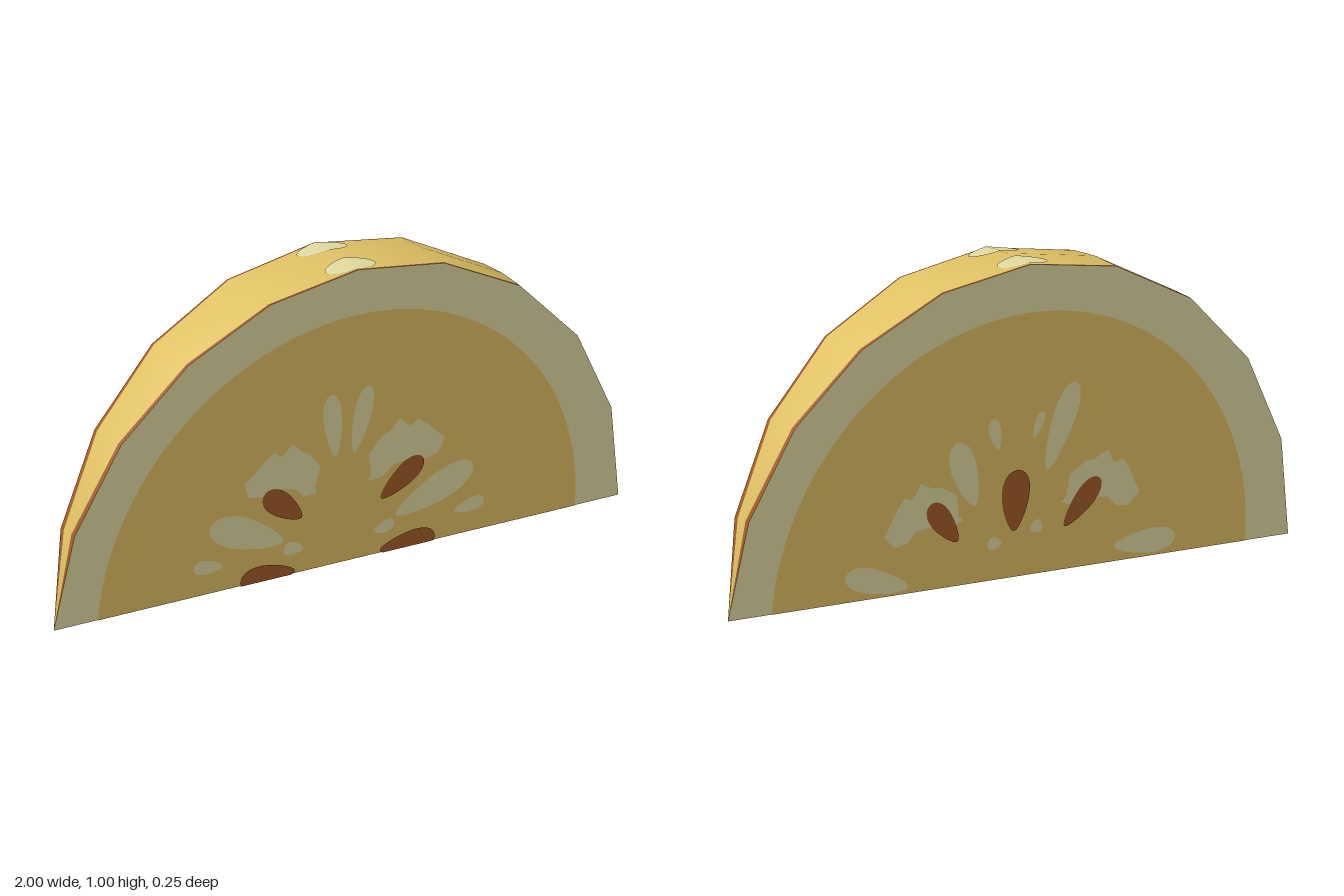
import * as THREE from 'three';

const TILT = 0.1263; // half the wedge angle
const SEGS = 10;     // facets along the rind

const material = (name, color, side = THREE.FrontSide) => {
  const m = new THREE.MeshStandardMaterial({ color, side });
  m.name = name;
  return m;
};

// Flat plate from 2D points, laid a little in front of the cut face
function plate(name, points, mat, z) {
  const clipped = points.map(([x, y]) => new THREE.Vector2(x, Math.max(0, y)));
  const mesh = new THREE.Mesh(new THREE.ShapeGeometry(new THREE.Shape(clipped)), mat);
  mesh.position.z = z;
  mesh.name = name;
  return mesh;
}

// Half disc standing on its straight side
function halfDisc(r, n) {
  return Array.from({ length: n + 1 }, (_, i) => {
    const t = (i / n) * Math.PI;
    return [r * Math.cos(t), r * Math.sin(t)];
  });
}

// Teardrop from its wide outer end to its narrow inner end
function drop([x0, y0, x1, y1, width], taper = 0.35) {
  const cx = (x0 + x1) / 2, cy = (y0 + y1) / 2;
  const ax = (x0 - x1) / 2, ay = (y0 - y1) / 2;
  const len = Math.hypot(ax, ay);
  return Array.from({ length: 24 }, (_, i) => {
    const t = (i / 24) * Math.PI * 2;
    const a = Math.cos(t), s = (Math.sin(t) * (1 + taper * a) * width) / 2 / len;
    return [cx + ax * a - ay * s, cy + ay * a + ax * s];
  });
}

const mirror = ([x0, y0, x1, y1, w]) => [-x0, y0, -x1, y1, w];
const spin = (pts, a) => pts.map(([x, y]) =>
  [x * Math.cos(a) - y * Math.sin(a), x * Math.sin(a) + y * Math.cos(a)]);
const flip = (pts) => pts.map(([x, y]) => [-x, y]);

// Lobed patch of membrane around a seed
const PATCH = [[-0.355, 0.35], [-0.32, 0.38], [-0.29, 0.41], [-0.255, 0.435], [-0.23, 0.415],
  [-0.19, 0.45], [-0.155, 0.415], [-0.125, 0.4], [-0.085, 0.35], [-0.1, 0.285], [-0.09, 0.26],
  [-0.14, 0.262], [-0.175, 0.295], [-0.21, 0.3], [-0.25, 0.31], [-0.29, 0.29], [-0.335, 0.3]];

const FRONT = { // one half, mirrored
  pale: [[-0.067, 0.59, -0.033, 0.37, 0.062], [-0.465, 0.23, -0.2, 0.12, 0.1],
    [-0.515, 0.1, -0.41, 0.085, 0.045], [-0.195, 0.095, -0.125, 0.08, 0.042]],
  seeds: [[-0.28, 0.3, -0.14, 0.19, 0.075], [-0.345, 0.015, -0.15, 0.01, 0.08]],
};
FRONT.pale.push(...FRONT.pale.map(mirror));
FRONT.seeds.push(...FRONT.seeds.map(mirror));
FRONT.patches = [PATCH, flip(PATCH)];

const BACK = {
  pale: [[-0.59, 0.085, -0.36, 0.02, 0.075], [0.59, 0.05, 0.37, 0.05, 0.075],
    [-0.225, 0.46, -0.14, 0.25, 0.085], [-0.1, 0.52, -0.07, 0.42, 0.04],
    [0.08, 0.52, 0.055, 0.44, 0.03], [0.19, 0.6, 0.11, 0.33, 0.08],
    [-0.085, 0.12, -0.035, 0.115, 0.04], [0.105, 0.16, 0.065, 0.145, 0.04]],
  seeds: [[-0.305, 0.275, -0.195, 0.145, 0.07], [0, 0.345, 0.005, 0.15, 0.095],
    [0.3, 0.28, 0.185, 0.14, 0.07]],
  patches: [spin(PATCH, 0.38), spin(flip(PATCH), -0.33)],
};

// One cut face, tilted about the lower edge
function cutFace(name, layout, mats) {
  const face = new THREE.Group();
  face.name = name;
  face.rotation.x = TILT;
  face.add(plate('pith', halfDisc(1, SEGS), mats.pale, 0));
  face.add(plate('pulp', halfDisc(0.845, 48), mats.yellow, 0.002));
  layout.patches.forEach((p) => face.add(plate('membranePatch', p, mats.pale, 0.004)));
  layout.pale.forEach((d) => face.add(plate('membrane', drop(d), mats.pale, 0.004)));
  layout.seeds.forEach((d) => face.add(plate('seed', drop(d), mats.brown, 0.006)));
  return face;
}

// Outer skin: a slice of a sphere about the x axis, with brown borders
function rind(mats) {
  const pos = [], index = [[], []], cols = 5;
  for (let i = 0; i <= SEGS; i++) {
    const t = (i / SEGS) * Math.PI, s = Math.sin(t);
    const border = 0.019 - 0.013 * s * s;
    const inner = TILT * Math.max(0, 1 - border / Math.max(0.001, TILT * s));
    for (const a of [-TILT, -inner, 0, inner, TILT]) {
      pos.push(Math.cos(t), s * Math.cos(a), s * Math.sin(a));
    }
  }
  for (let j = 0; j < cols - 1; j++) {
    for (let i = 0; i < SEGS; i++) {
      const a = i * cols + j, b = a + cols;
      index[j === 0 || j === 3 ? 1 : 0].push(a, b, b + 1, a, b + 1, a + 1);
    }
  }
  const g = new THREE.BufferGeometry();
  g.setAttribute('position', new THREE.Float32BufferAttribute(pos, 3));
  g.setAttribute('normal', new THREE.Float32BufferAttribute(pos, 3)); // unit sphere
  g.setIndex([...index[0], ...index[1]]);
  g.addGroup(0, index[0].length, 0);
  g.addGroup(index[0].length, index[1].length, 1);
  const mesh = new THREE.Mesh(g, [mats.yellow, mats.brown]);
  mesh.name = 'rind';
  return mesh;
}

// Pale oval folded over the ridge at the top of the rind
function rindSpot(z, mat) {
  const g = new THREE.CircleGeometry(1, 24).rotateX(-Math.PI / 2);
  g.scale(0.087, 1, 0.042).translate(0, 0, z);
  const p = g.attributes.position;
  for (let i = 0; i < p.count; i++) {
    p.setY(i, 1.003 - 0.159 * Math.abs(p.getX(i)) - 0.063 * Math.abs(p.getZ(i)));
  }
  g.computeVertexNormals();
  const mesh = new THREE.Mesh(g, mat);
  mesh.name = 'rindSpot';
  return mesh;
}

export function createModel() {
  const mats = {
    yellow: material('yellow flesh', 0xdfc063),
    pale: material('pale pith', 0xdfd89f),
    brown: material('brown seed', 0xa25c26),
  };
  const model = new THREE.Group();
  model.name = 'fruitWedge';
  const back = new THREE.Group();
  back.name = 'backSide';
  back.rotation.y = Math.PI;
  back.add(cutFace('backFace', BACK, mats));
  model.add(rind(mats), cutFace('frontFace', FRONT, mats), back);
  [-0.078, 0.08].forEach((z) => model.add(rindSpot(z, mats.pale)));
  return model;
}
